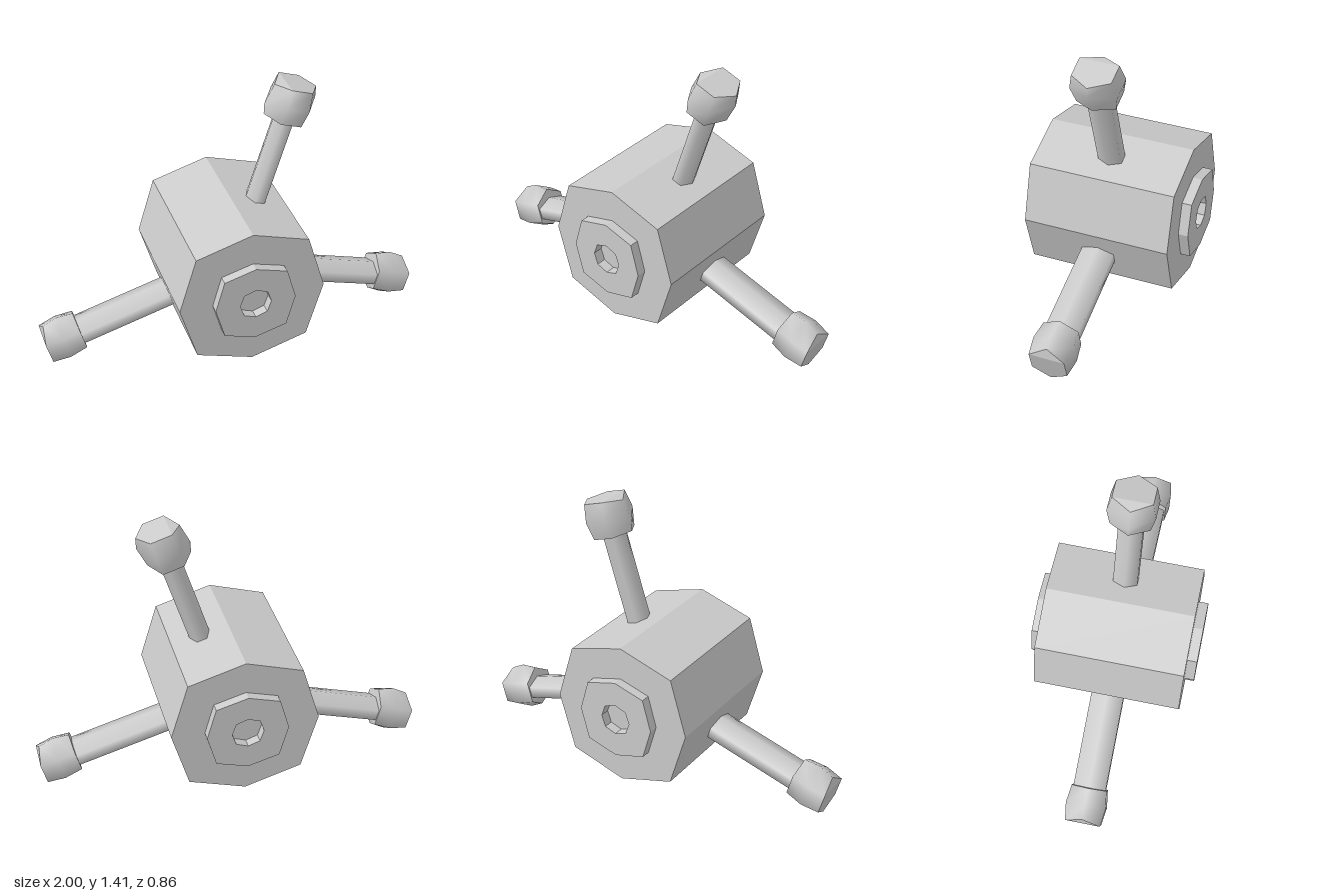
import * as THREE from 'three';
import { mergeGeometries } from 'three/addons/utils/BufferGeometryUtils.js';

const CENTER_Y = 0.44;
const grey = new THREE.MeshStandardMaterial({ color: 0xcccccc });
const greyFlat = new THREE.MeshStandardMaterial({ color: 0xcccccc, flatShading: true });

// Octagon with its own reach on the axes (a) and on the diagonals (d, per axis)
function octagon(a, d, Type = THREE.Shape) {
  const pts = [[a, 0], [d, d], [0, a], [-d, d], [-a, 0], [-d, -d], [0, -a], [d, -d]];
  return new Type(pts.map(([x, y]) => new THREE.Vector2(x, y)));
}

function extrudeZ(shape, z0, z1) {
  const geo = new THREE.ExtrudeGeometry(shape, { depth: z1 - z0, bevelEnabled: false });
  return geo.translate(0, CENTER_Y, z0);
}

function add(parent, geo, material, name) {
  const mesh = new THREE.Mesh(geo, material);
  mesh.name = name;
  parent.add(mesh);
  return mesh;
}

// Six-sided barrel along y, with a folded cap at each end
function knobGeometry(zMid, zCap, skew) {
  // each ring: [tip x, tip y, corner x, corner z, corner y, back tip x, back tip y]
  const rings = [
    [0.108, -0.07, 0.055, zCap, -0.093, -0.112, -0.093],
    [0.127, skew, 0.06, zMid, 0, -0.127, -skew],
    [0.112, 0.093, 0.055, zCap, 0.093, -0.108, 0.07],
  ];
  const pos = [];
  for (const [tx, ty, cx, cz, cy, bx, by] of rings) {
    pos.push(tx, ty, 0, cx, cy, cz, -cx, cy, cz, bx, by, 0, -cx, cy, -cz, cx, cy, -cz);
  }
  const make = (index) => {
    const geo = new THREE.BufferGeometry();
    geo.setAttribute('position', new THREE.Float32BufferAttribute(pos, 3));
    geo.setIndex(index);
    return geo;
  };
  const sideIndex = [];
  for (let r = 0; r < 2; r++) {
    for (let k = 0; k < 6; k++) {
      const a = r * 6 + k, b = r * 6 + (k + 1) % 6;
      sideIndex.push(a, a + 6, b, b, a + 6, b + 6);
    }
  }
  const sides = make(sideIndex);
  sides.computeVertexNormals();
  const bottom = [0, 1, 5, 1, 2, 3, 1, 3, 5, 3, 4, 5];
  const top = [2, 4, 3, 0, 2, 1, 0, 4, 2, 0, 5, 4].map((i) => i + 12);
  const caps = make([...bottom, ...top]).toNonIndexed();
  caps.computeVertexNormals();
  return mergeGeometries([sides.toNonIndexed(), caps]);
}

// Rod standing on a body face at (x, y), with a knob at its far end
function makeArm(name, o) {
  const arm = new THREE.Group();
  arm.name = name;
  const sunk = 0.05;
  const rod = new THREE.CylinderGeometry(1, 1, o.length + sunk, 6, 1, false, Math.PI / 2);
  rod.scale(o.halfWidth, 1, o.halfDepth / Math.cos(Math.PI / 6));
  rod.translate(0, (o.length - sunk) / 2, 0);
  add(arm, rod, grey, 'rod');
  const knob = add(arm, knobGeometry(o.knobMid, o.knobCap, o.skew), grey, 'knob');
  knob.position.y = o.length;
  if (o.flip) knob.rotation.y = Math.PI;
  arm.position.set(o.x, o.y, 0);
  arm.rotation.z = o.angle - Math.PI / 2;
  return arm;
}

export function createModel() {
  const model = new THREE.Group();
  model.name = 'threeArmedDrum';

  // Drum
  add(model, extrudeZ(octagon(0.377, 0.29), -0.38, 0.38), greyFlat, 'drum');

  // Raised hub rings on both ends
  const ring = octagon(0.208, 0.162);
  ring.holes.push(octagon(0.081, 0.06, THREE.Path));
  add(model, extrudeZ(ring, 0.38, 0.43), greyFlat, 'frontHubRing');
  add(model, extrudeZ(ring, -0.43, -0.38), greyFlat, 'backHubRing');

  // Arms
  const side = {
    y: 0.295, length: 0.584, halfWidth: 0.06, halfDepth: 0.085,
    knobMid: 0.105, knobCap: 0.092, skew: 0.012,
  };
  const tilt = 0.279;
  model.add(makeArm('leftArm', { ...side, x: 0.333, angle: -tilt }));
  model.add(makeArm('rightArm', { ...side, x: -0.333, angle: Math.PI + tilt, flip: true }));
  model.add(makeArm('topArm', {
    x: 0.145, y: 0.775, angle: 1.26, length: 0.557, halfWidth: 0.054, halfDepth: 0.062,
    knobMid: 0.12, knobCap: 0.1, skew: 0.038,
  }));
  return model;
}
